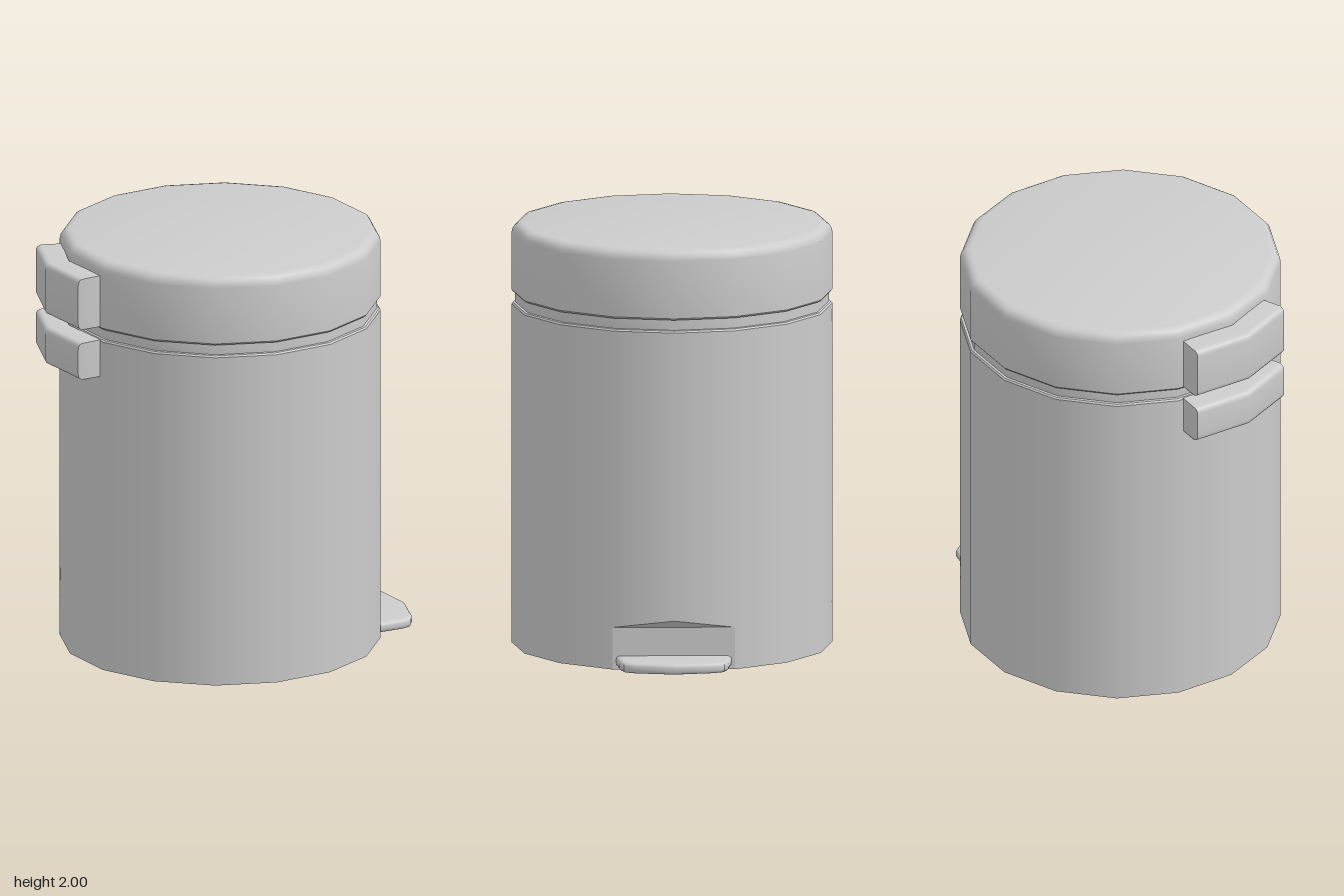
import * as THREE from 'three';
import { toCreasedNormals } from 'three/addons/utils/BufferGeometryUtils.js';

const R = 0.75, SIDES = 16, STEP = (Math.PI * 2) / SIDES;
const CX = -0.025; // axis of the bin
const NOTCH = 0.2, NOTCH_PEAK = 0.24, RIM = 1.61;

const mat = new THREE.MeshStandardMaterial({ color: 0xcccccc });

function add(parent, name, geometry) {
  const mesh = new THREE.Mesh(geometry, mat);
  mesh.name = name;
  parent.add(mesh);
  return mesh;
}

function lathe(points) {
  const g = new THREE.LatheGeometry(points.map(([r, y]) => new THREE.Vector2(r, y)), SIDES);
  return toCreasedNormals(g, 0.6);
}

// Bin body with a notch for the pedal on its +x side
function makeBody() {
  const body = new THREE.Group();
  body.name = 'body';

  const lower = new THREE.CylinderGeometry(R, R, NOTCH, SIDES - 2, 1, true,
    Math.PI / 2 + STEP, Math.PI * 2 - 2 * STEP);
  lower.translate(0, NOTCH / 2, 0);
  add(body, 'lowerWall', lower);

  const upper = new THREE.CylinderGeometry(R, R, RIM - NOTCH, SIDES, 1, true);
  upper.translate(0, (RIM + NOTCH) / 2, 0);
  const p = upper.attributes.position;
  for (let i = 0; i < p.count; i++) {
    if (p.getX(i) > R - 0.001 && p.getY(i) < RIM / 2) p.setY(i, NOTCH_PEAK);
  }
  add(body, 'upperWall', upper);

  // Flat back of the notch and its sloping roof
  const c = R * Math.cos(STEP), s = R * Math.sin(STEP);
  const a = [c, 0, s], b = [c, 0, -s], d = [c, NOTCH, -s], e = [c, NOTCH, s];
  const notch = new THREE.BufferGeometry();
  notch.setAttribute('position', new THREE.Float32BufferAttribute(
    [a, b, d, a, d, e, e, d, [R, NOTCH_PEAK, 0]].flat(), 3));
  notch.computeVertexNormals();
  add(body, 'pedalNotch', notch);

  // Base
  const outline = [];
  for (let k = 1; k < SIDES; k++) {
    outline.push(new THREE.Vector2(R * Math.cos(k * STEP), R * Math.sin(k * STEP)));
  }
  add(body, 'base', new THREE.ShapeGeometry(new THREE.Shape(outline)).rotateX(Math.PI / 2));

  // Chamfered rim and recessed neck
  add(body, 'neck', lathe([[R, RIM], [0.744, 1.618], [0.733, 1.62], [0.733, 1.675]]));
  return body;
}

// Lid with a rounded upper edge
function makeLid() {
  const pts = [[0.733, 1.67], [0.744, 1.67], [R, 1.678]];
  const r = 0.05;
  for (let i = 0; i <= 4; i++) {
    const t = (i / 4) * Math.PI / 2;
    pts.push([R - r + r * Math.cos(t), 2 - r + r * Math.sin(t)]);
  }
  pts.push([0, 2]);
  return lathe(pts);
}

// Hinge block: rounded profile swept across z, its outer face pushed out in the middle
function makeHinge(y0, y1) {
  const inner = -0.72, outer = -0.84, r = 0.03, half = 0.28;
  const s = new THREE.Shape();
  s.moveTo(inner, y0);
  s.lineTo(inner, y1);
  s.lineTo(outer + r, y1);
  s.quadraticCurveTo(outer, y1, outer, y1 - r);
  s.lineTo(outer, y0 + r);
  s.quadraticCurveTo(outer, y0, outer + r, y0);
  const g = new THREE.ExtrudeGeometry(s, { depth: 2 * half, steps: 2, bevelEnabled: false, curveSegments: 4 });
  g.translate(0, 0, -half);
  const p = g.attributes.position;
  for (let i = 0; i < p.count; i++) {
    const x = p.getX(i), z = p.getZ(i);
    p.setX(i, x - 0.06 * (1 - Math.abs(z) / half));
    if (x > inner - 0.01) p.setZ(i, z * 0.93);
  }
  return toCreasedNormals(g, 0.6);
}

// Foot pedal: thin plate with softened edges
function makePedal() {
  const side = [[0.6, 0.25], [0.67, 0.25], [0.79, 0.235], [0.825, 0.22], [0.845, 0.18]];
  const pts = [...side, [0.878, 0], ...side.map(([x, z]) => [x, -z]).reverse()];
  const g = new THREE.ExtrudeGeometry(
    new THREE.Shape(pts.map(([x, z]) => new THREE.Vector2(x, z))),
    { depth: 0.015, bevelThickness: 0.0175, bevelSize: 0.02, bevelSegments: 3 });
  g.rotateX(-Math.PI / 2).translate(0, 0.0325, 0);
  return toCreasedNormals(g, 0.6);
}

export function createModel() {
  const model = new THREE.Group();
  model.name = 'pedalBin';
  const body = makeBody();
  body.position.x = CX;
  model.add(body);
  add(model, 'lid', makeLid()).position.x = CX;
  add(model, 'lidHinge', makeHinge(1.68, 1.93));
  add(model, 'bodyHinge', makeHinge(1.435, 1.615));
  add(model, 'pedal', makePedal());
  return model;
}
